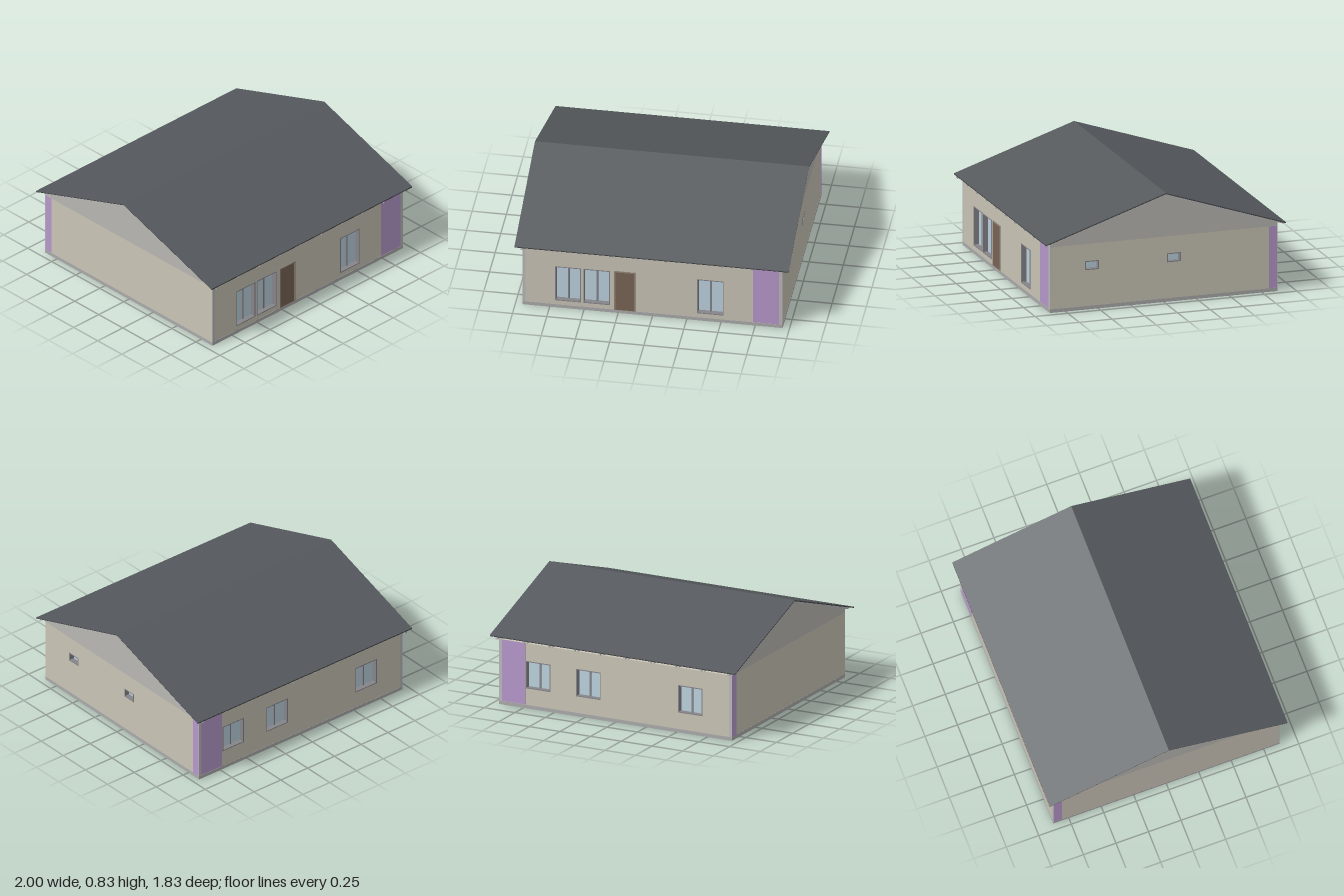
import * as THREE from 'three';

const HX = 0.95, HZ = 0.868, BASE = 0.026, TOP = 0.49, WALL = 0.06;
const RIDGE = 0.83, EAVE_Z = 0.915, SLOPE = (0.83 - 0.526) / EAVE_Z;
const roofY = z => RIDGE - SLOPE * Math.abs(z);

const paint = color => new THREE.MeshStandardMaterial({ color });
const M = {
  wall: paint(0xc9c4b6), panel: paint(0xb698cb), trim: paint(0xbababa), gable: paint(0xb9b7b3),
  frame: paint(0x85858a), glass: paint(0xbcd1de), door: paint(0x796354), doorFrame: paint(0x8f8275),
  roof: paint(0x55595d), under: paint(0x2c2c2e), floor: paint(0xaaaaaa),
};

function add(parent, name, geometry, material, x = 0, y = 0, z = 0) {
  const mesh = new THREE.Mesh(geometry, material);
  mesh.name = name;
  mesh.position.set(x, y, z);
  parent.add(mesh);
  return mesh;
}

// Box given by its x and y limits, centred in depth on z
function block(parent, name, material, x0, x1, y0, y1, z, depth) {
  return add(parent, name, new THREE.BoxGeometry(x1 - x0, y1 - y0, depth), material, (x0 + x1) / 2, (y0 + y1) / 2, z);
}

const outline = points => new THREE.Shape(points.map(p => new THREE.Vector2(...p)));
const rect = (x0, x1, y0, y1) => outline([[x0, y0], [x1, y0], [x1, y1], [x0, y1]]);
const extrude = (shape, depth) => new THREE.ExtrudeGeometry(shape, { depth, bevelEnabled: false });

// Profile in the z-y plane, extruded along x and centred
const profileX = (points, width, hole) => {
  const shape = outline(points);
  if (hole) shape.holes.push(outline(hole));
  return extrude(shape, width).translate(0, 0, -width / 2).rotateY(Math.PI / 2);
};

// Two roof slopes between two drops below the top surface
const slopes = (drop0, drop1, width) => {
  const e = roofY(EAVE_Z);
  return profileX([[-EAVE_Z, e - drop1], [0, RIDGE - drop1], [EAVE_Z, e - drop1],
    [EAVE_Z, e - drop0], [0, RIDGE - drop0], [-EAVE_Z, e - drop0]], width);
};

// Recessed window: deep frame, glass and evenly spaced mullions
function addWindow(parent, face, [x0, x1, y0, y1, panes]) {
  const group = new THREE.Group();
  group.name = 'window';
  const rim = 0.007, depth = 0.045;
  const frame = rect(x0, x1, y0, y1);
  frame.holes.push(rect(x0 + rim, x1 - rim, y0 + rim, y1 - rim));
  add(group, 'windowFrame', extrude(frame, depth), M.frame, 0, 0, face - depth + 0.001);
  block(group, 'windowGlass', M.glass, x0 + 0.002, x1 - 0.002, y0 + 0.002, y1 - 0.002, face - 0.041, 0.008);
  for (let i = 1; i < panes; i++) {
    const x = x0 + (x1 - x0) * i / panes;
    block(group, 'mullion', M.frame, x - 0.006, x + 0.006, y0 + rim, y1 - rim, face - 0.034, 0.01);
  }
  parent.add(group);
}

// One outside wall, built facing +z and then turned about y
function facade(name, halfWidth, face, angle, windows, panel) {
  const group = new THREE.Group();
  group.name = name;
  const shape = rect(-halfWidth, halfWidth, BASE, TOP);
  windows.forEach(([x0, x1, y0, y1]) => shape.holes.push(rect(x0, x1, y0, y1)));
  add(group, 'wall', extrude(shape, WALL), M.wall, 0, 0, face - WALL);
  windows.forEach(w => addWindow(group, face, w));
  block(group, 'accentPanel', M.panel, panel[0], panel[1], BASE + 0.002, TOP, face, 0.003);
  group.rotation.y = angle;
  return group;
}

export function createModel() {
  const house = new THREE.Group();
  house.name = 'house';

  // Floor slab forming the plinth
  add(house, 'floorSlab', new THREE.BoxGeometry(HX * 2, BASE, 1.74), M.floor, 0, BASE / 2, 0);

  // Walls with windows and accent panels
  const front = facade('frontWall', HX, HZ, 0,
    [[-0.71, -0.52, 0.06, 0.355, 2], [-0.505, -0.31, 0.06, 0.355, 2], [0.325, 0.52, 0.06, 0.355, 2]], [0.735, 0.925]);
  const back = facade('backWall', HX, HZ, Math.PI,
    [[-0.73, -0.53, 0.15, 0.357, 2], [-0.32, -0.12, 0.15, 0.357, 2], [0.51, 0.71, 0.15, 0.357, 2]], [-0.925, -0.735]);
  const left = facade('leftWall', HZ - WALL, HX - 0.001, Math.PI / 2,
    [[-0.6, -0.495, 0.295, 0.362, 1], [0.025, 0.13, 0.295, 0.362, 1]], [0.803, 0.866]);
  const right = facade('rightWall', HZ - WALL, HX - 0.001, -Math.PI / 2, [], [-0.866, -0.803]);
  house.add(front, back, left, right);

  // Corner boards on the long walls
  for (const wall of [front, back]) for (const s of [-1, 1])
    block(wall, 'cornerBoard', M.trim, s * 0.9375 - 0.0125, s * 0.9375 + 0.0125, BASE, TOP + 0.03, HZ, 0.004);

  // Front door
  const door = new THREE.Group();
  door.name = 'frontDoor';
  const surround = rect(-0.28, -0.125, BASE, 0.362);
  surround.holes.push(rect(-0.27, -0.135, BASE + 0.001, 0.352));
  add(door, 'doorFrame', extrude(surround, 0.008), M.doorFrame, 0, 0, HZ - 0.002);
  block(door, 'doorLeaf', M.door, -0.271, -0.134, BASE, 0.353, HZ, 0.006);
  front.add(door);

  // Gable triangles
  const heel = roofY(HZ) - 0.01;
  for (const s of [-1, 1])
    add(house, 'gable', profileX([[-HZ, TOP], [HZ, TOP], [HZ, heel], [0, RIDGE - 0.01], [-HZ, heel]], 0.02), M.gable, s * 0.939);

  // Roof covering and dark underside
  add(house, 'roof', slopes(0, 0.006, 2), M.roof);
  add(house, 'roofUnderside', slopes(0.006, 0.009, 1.998), M.under);

  // Verge rafters over the gables
  for (const s of [-1, 1]) add(house, 'vergeRafter', slopes(0.009, 0.025, 0.02), M.trim, s * 0.944);

  // Roof trusses spanning the house, with rafter tails at the eaves
  const tail = roofY(EAVE_Z), d = 0.009;
  const truss = profileX([
    [-HZ, TOP], [HZ, TOP], [HZ, roofY(HZ) - 0.025], [EAVE_Z, tail - 0.025], [EAVE_Z, tail - d],
    [0, RIDGE - d], [-EAVE_Z, tail - d], [-EAVE_Z, tail - 0.025], [-HZ, roofY(HZ) - 0.025],
  ], 0.008, [[-0.8, TOP + 0.012], [0.8, TOP + 0.012], [0, RIDGE - 0.035]]);
  for (let i = 1; i < 9; i++) add(house, 'roofTruss', truss, M.trim, -0.928 + i * 1.856 / 9);

  return house;
}
